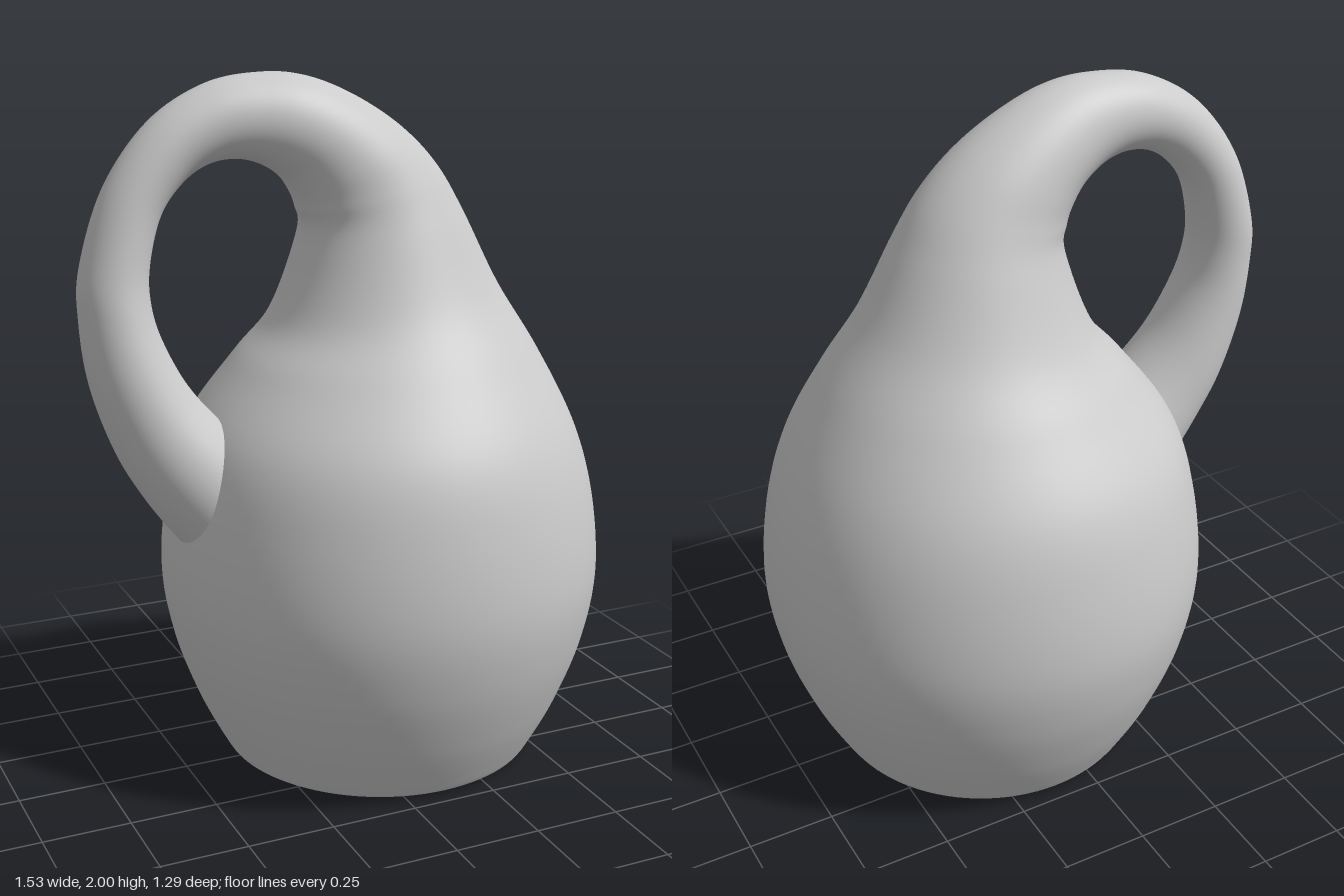
import * as THREE from 'three';

// Upright body rings: [height, radius], all centred on x = AXIS
const AXIS = 0.12;
const body = [
  [0, 0.43], [0.006, 0.452], [0.035, 0.475], [0.18, 0.548], [0.37, 0.615],
  [0.57, 0.645], [0.8, 0.622], [1.0, 0.562],
];

// Tilted rings: [outer x, outer y, inner x, inner y, half depth, z shift]
const neckAndHandle = [
  [0.577, 1.21, -0.31, 1.185, 0.43, 0],
  [0.46, 1.4, -0.2, 1.32, 0.315, 0],
  [0.354, 1.61, -0.12, 1.545, 0.225, 0],
  [0.274, 1.74, -0.13, 1.625, 0.19, 0],
  [0.168, 1.845, -0.155, 1.68, 0.17, 0],
  [0.035, 1.93, -0.19, 1.722, 0.15, 0],
  [-0.1, 1.985, -0.25, 1.757, 0.13, 0],
  [-0.23, 2.0, -0.32, 1.772, 0.112, -0.005],
  [-0.39, 1.975, -0.395, 1.76, 0.1, -0.012],
  [-0.55, 1.88, -0.465, 1.715, 0.095, -0.018],
  [-0.68, 1.71, -0.53, 1.63, 0.095, -0.018],
  [-0.755, 1.5, -0.567, 1.5, 0.1, -0.01],
  [-0.765, 1.36, -0.57, 1.4, 0.107, 0],
  [-0.745, 1.18, -0.545, 1.3, 0.12, 0.01],
  [-0.683, 0.99, -0.48, 1.17, 0.137, 0.02],
  [-0.604, 0.845, -0.39, 1.06, 0.152, 0.03],
  [-0.513, 0.72, -0.27, 0.95, 0.167, 0.03],
];

// The tube inside the body, flaring out to meet the base rim
const innerTube = [
  [-0.4, 0.58, -0.1, 0.84, 0.2, 0.02],
  [-0.31, 0.42, 0.1, 0.7, 0.24, 0.01],
  [-0.28, 0.27, 0.32, 0.48, 0.3, 0],
  [-0.285, 0.13, 0.48, 0.23, 0.37, 0],
  [-0.3, 0.04, 0.535, 0.06, 0.41, 0],
  [-0.31, 0, 0.55, 0, 0.43, 0],
];

function spline(points) {
  return new THREE.CatmullRomCurve3(points, false, 'catmullrom', 0.5);
}

// Skin elliptical rings that span an outer and an inner guide curve
function sweepRings(rings, steps, sides) {
  const outer = spline(rings.map((r) => new THREE.Vector3(r[0], r[1], r[5])));
  const inner = spline(rings.map((r) => new THREE.Vector3(r[2], r[3], r[5])));
  const depth = spline(rings.map((r) => new THREE.Vector3(r[4], 0, 0)));
  const positions = [];
  const indices = [];

  for (let i = 0; i <= steps; i++) {
    const t = i / steps;
    const a = outer.getPoint(t);
    const b = inner.getPoint(t);
    const mid = a.clone().add(b).multiplyScalar(0.5);
    const half = a.clone().sub(b).multiplyScalar(0.5);
    const rz = depth.getPoint(t).x;
    for (let j = 0; j < sides; j++) {
      const ang = (j / sides) * Math.PI * 2;
      const c = Math.cos(ang);
      positions.push(
        mid.x + half.x * c,
        Math.max(0, mid.y + half.y * c),
        mid.z + rz * Math.sin(ang),
      );
      if (i === steps) continue;
      const p = i * sides + j;
      const q = i * sides + ((j + 1) % sides);
      indices.push(p, p + sides, q, q, p + sides, q + sides);
    }
  }

  const geometry = new THREE.BufferGeometry();
  geometry.setAttribute('position', new THREE.Float32BufferAttribute(positions, 3));
  geometry.setIndex(indices);
  geometry.computeVertexNormals();
  return geometry;
}

export function createModel() {
  const group = new THREE.Group();
  group.name = 'selfPassingBottle';

  // One continuous skin: body, neck, handle and inner tube back to the rim
  const bodyRings = body.map(([y, r]) => [AXIS + r, y, AXIS - r, y, r, 0]);
  const rings = [...bodyRings, ...neckAndHandle, ...innerTube];
  const material = new THREE.MeshStandardMaterial({
    color: 0xcccccc,
    side: THREE.DoubleSide,
  });
  const bottle = new THREE.Mesh(sweepRings(rings, (rings.length - 1) * 8, 96), material);
  bottle.name = 'bottleSurface';
  group.add(bottle);
  return group;
}
